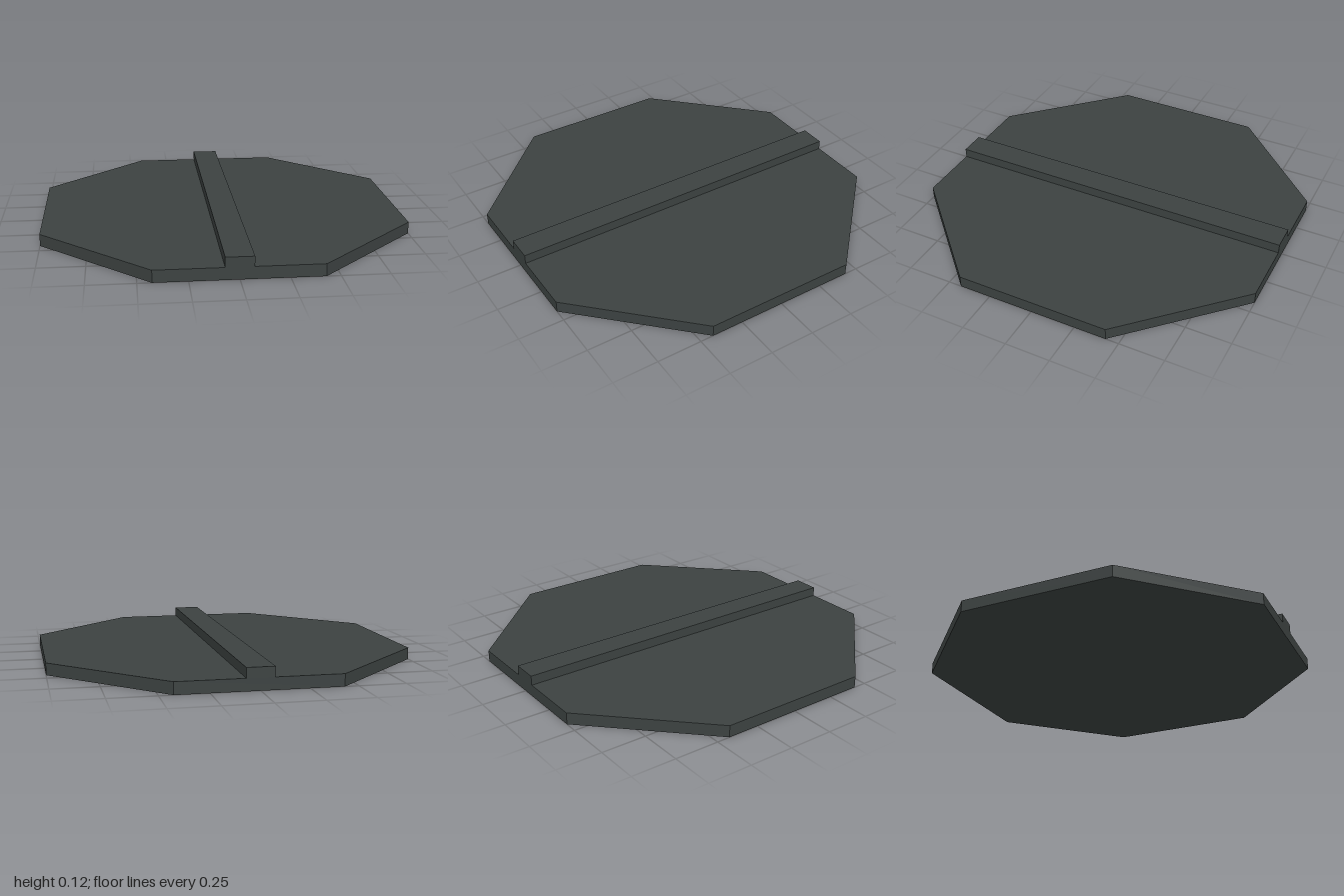
import * as THREE from 'three';

export function createModel() {
  const group = new THREE.Group();
  const darkSlate = new THREE.MeshStandardMaterial({ color: 0x3c4241 });
  darkSlate.name = 'darkSlate';

  const plateHeight = 0.065, ridgeHeight = 0.053, ridgeWidth = 0.146;

  // Octagonal base plate
  const c = 0.427;
  const outline = [[c, -1], [1, -c], [1, c], [c, 1], [-c, 1], [-1, c], [-1, -c], [-c, -1]];
  const shape = new THREE.Shape(outline.map(([x, y]) => new THREE.Vector2(x, y)));
  const plateGeometry = new THREE.ExtrudeGeometry(shape, { depth: plateHeight, bevelEnabled: false });
  plateGeometry.rotateX(-Math.PI / 2);
  const plate = new THREE.Mesh(plateGeometry, darkSlate);
  plate.name = 'octagonPlate';

  // Raised bar running front to back
  const ridge = new THREE.Mesh(new THREE.BoxGeometry(ridgeWidth, ridgeHeight, 2), darkSlate);
  ridge.name = 'centreRidge';
  ridge.position.y = plateHeight + ridgeHeight / 2;

  group.add(plate, ridge);
  return group;
}
